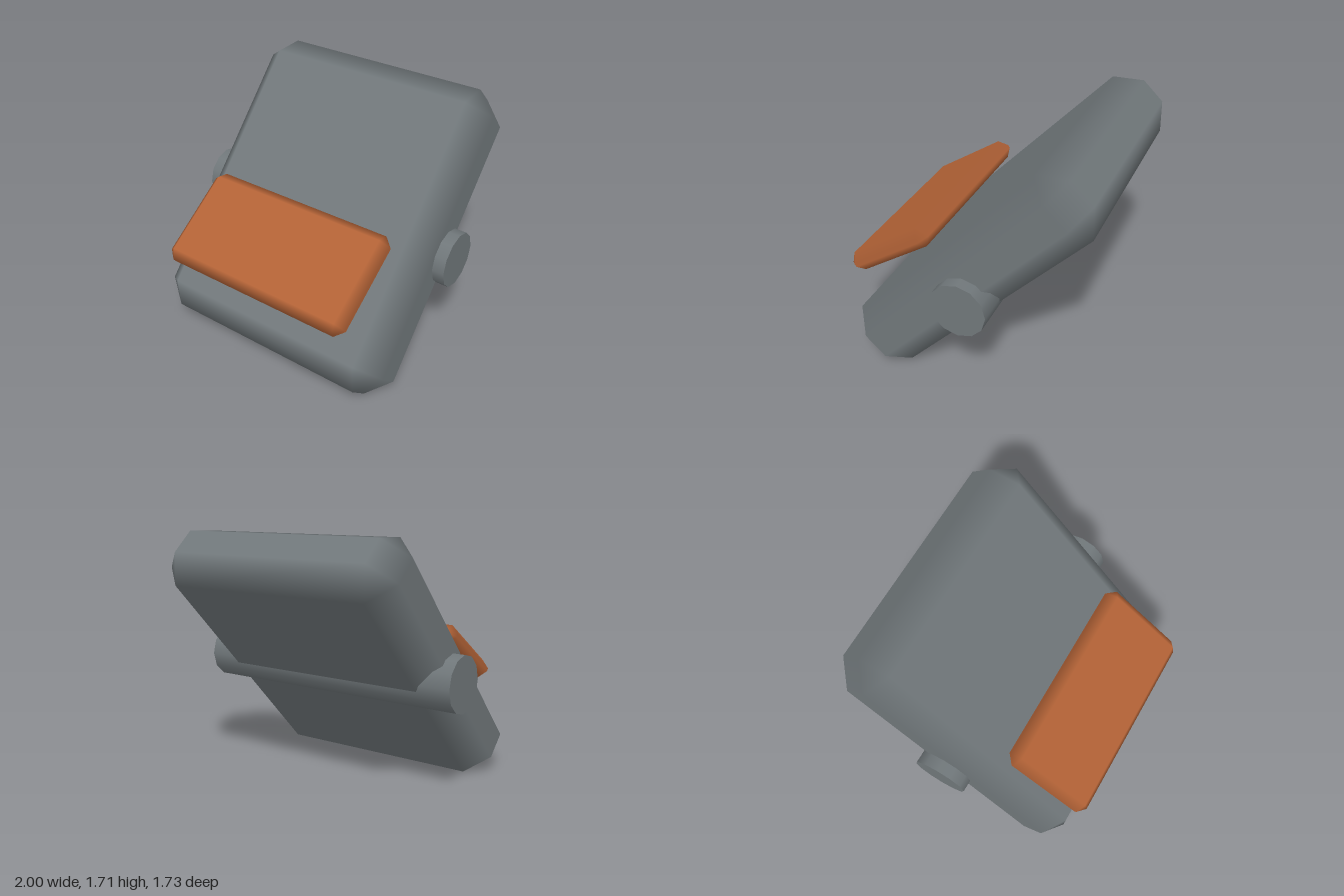
import * as THREE from 'three';
import { ConvexGeometry } from 'three/addons/geometries/ConvexGeometry.js';

// Box with single-segment bevels: flat main faces, smoothly blended bevels
function bevelBox(hx, hy, hz, b) {
  const half = [hx, hy, hz];
  const points = [];
  for (const sx of [-1, 1]) for (const sy of [-1, 1]) for (const sz of [-1, 1]) {
    const s = [sx, sy, sz];
    for (let axis = 0; axis < 3; axis++) {
      points.push(new THREE.Vector3(...s.map((v, i) => v * (half[i] - (i === axis ? 0 : b)))));
    }
  }
  const geometry = new ConvexGeometry(points);
  const { position, normal } = geometry.attributes;
  for (let i = 0; i < position.count; i++) {
    const p = [position.getX(i), position.getY(i), position.getZ(i)];
    // Every corner takes the normal of the main face it lies on
    normal.setXYZ(i, ...p.map((v, k) => (Math.abs(v) > half[k] - b * 0.1 ? Math.sign(v) : 0)));
  }
  return geometry;
}

export function createModel() {
  const model = new THREE.Group();
  model.name = 'tiltedPanel';

  const grey = new THREE.MeshStandardMaterial({ color: 0x70777a });
  grey.name = 'grey';
  const copper = new THREE.MeshStandardMaterial({ color: 0xb26236 });
  copper.name = 'copper';

  const add = (name, geometry, material, y, z, tilt = 0) => {
    const mesh = new THREE.Mesh(geometry, material);
    mesh.name = name;
    mesh.position.set(0, y, z);
    mesh.rotation.x = tilt;
    model.add(mesh);
  };

  // Thick leaning slab
  add('slab', bevelBox(0.917, 1.08, 0.256, 0.158), grey, 0.855, -0.045, -0.753);

  // Small plate floating in front of the slab, lying flatter than it
  add('frontPlate', bevelBox(0.725, 0.357, 0.072, 0.06), copper, 0.838, 0.564, -0.983);

  // Pivot rod running through the slab, showing slightly at its back
  const rod = new THREE.CylinderGeometry(0.192, 0.192, 2, 12).rotateZ(Math.PI / 2);
  add('pivotRod', rod, grey, 0.776, -0.1);

  return model;
}
